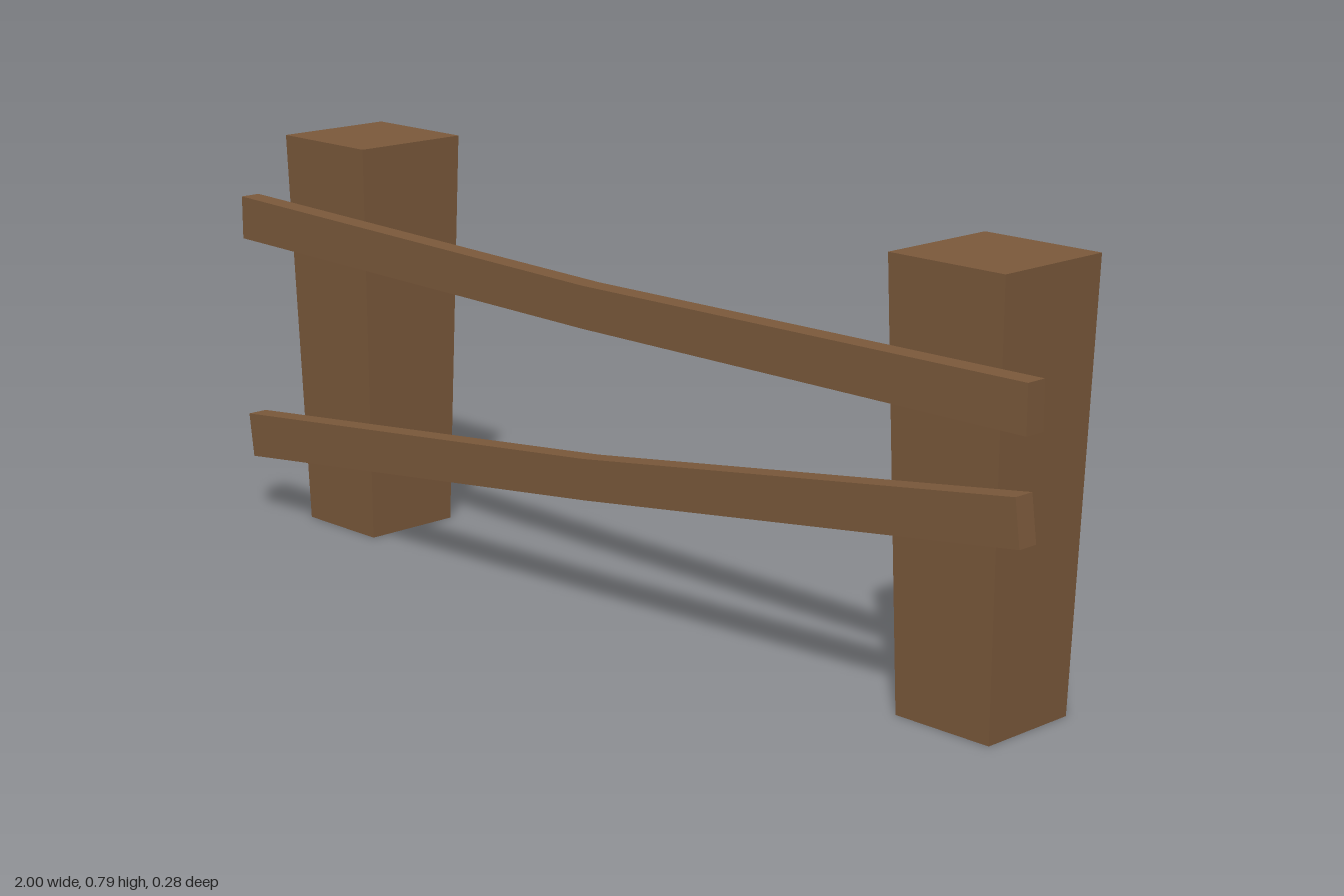
import * as THREE from 'three';

const wood = new THREE.MeshStandardMaterial({ color: 0x7b593b, side: THREE.DoubleSide, flatShading: true });
wood.name = 'brown wood';

// Post that widens upward and is open underneath
function makePost(name, x) {
  const height = 0.786, bottom = 0.2, top = 0.241;
  const geo = new THREE.BoxGeometry(1, height, 1);
  const faces = Array.from(geo.index.array);
  faces.splice(18, 6); // drop the bottom face
  geo.setIndex(faces);
  geo.clearGroups();
  const pos = geo.attributes.position;
  for (let i = 0; i < pos.count; i++) {
    const width = pos.getY(i) > 0 ? top : bottom;
    pos.setX(i, pos.getX(i) * width);
    pos.setZ(i, pos.getZ(i) * width);
  }
  geo.computeVertexNormals();
  const post = new THREE.Mesh(geo, wood);
  post.name = name;
  post.position.set(x, height / 2, -0.021);
  return post;
}

// Slightly bent rail, from its outline in the front plane
function makeRail(name, outline) {
  const shape = new THREE.Shape(outline.map(([x, y]) => new THREE.Vector2(x, y)));
  const geo = new THREE.ExtrudeGeometry(shape, { depth: 0.041, bevelEnabled: false });
  const rail = new THREE.Mesh(geo, wood);
  rail.name = name;
  rail.position.z = 0.102;
  return rail;
}

export function createModel() {
  const fence = new THREE.Group();
  fence.name = 'fence';
  fence.add(
    makePost('rightPost', -0.786),
    makePost('leftPost', 0.794),
    makeRail('upperRail', [
      [-1, 0.571], [0, 0.553], [1, 0.552], [1, 0.637], [0, 0.631], [-1, 0.656],
    ]),
    makeRail('lowerRail', [
      [-0.988, 0.121], [0.006, 0.238], [0.994, 0.369], [0.983, 0.452], [-0.002, 0.314], [-1, 0.208],
    ]),
  );
  return fence;
}
